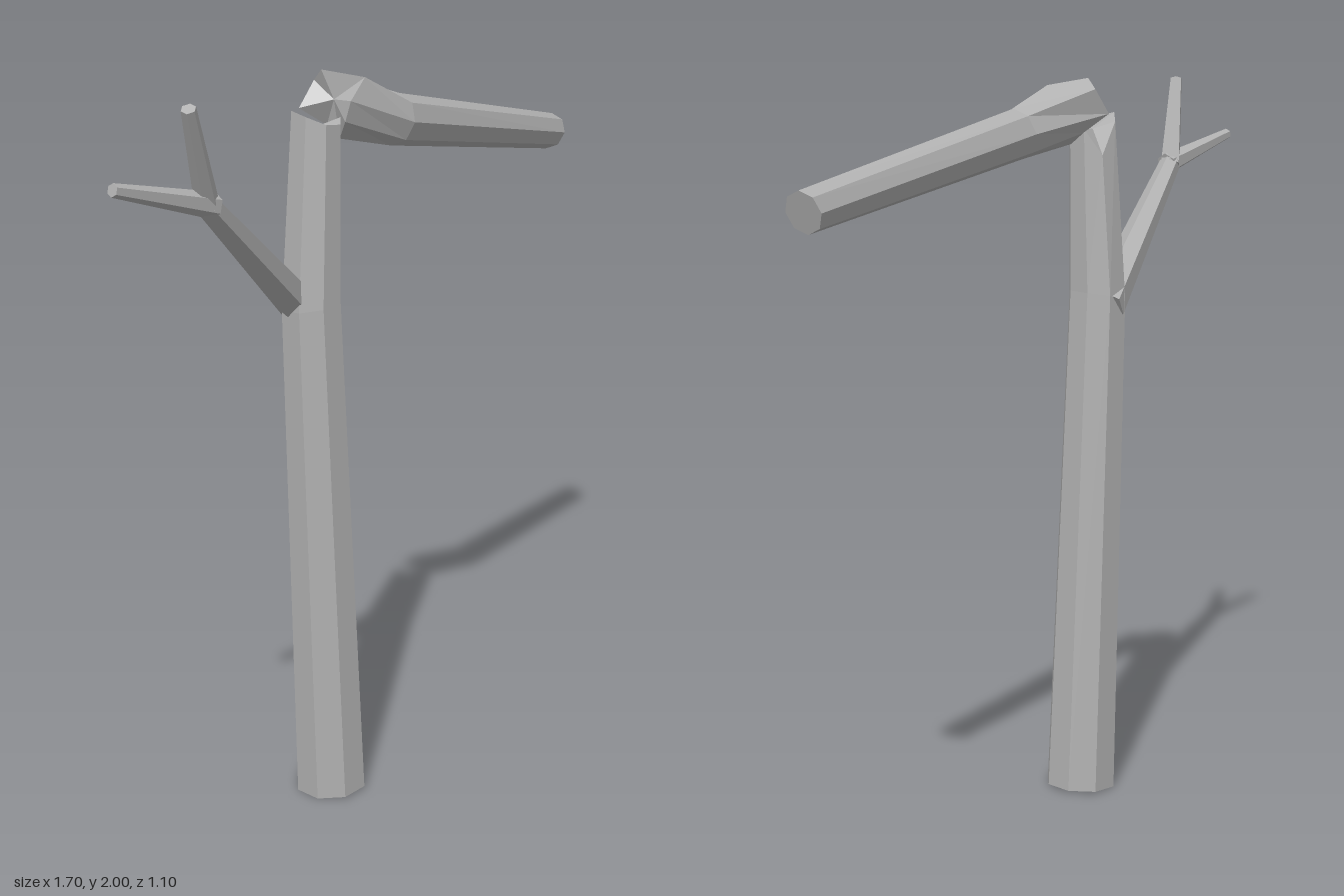
import * as THREE from 'three';

const V = (x, y, z) => new THREE.Vector3(x, y, z);

// Ring of n points round a centre, facing along dir; the first point lies towards ref
function ring(c, r, n, dir, ref) {
  const d = dir.clone().normalize();
  const u = ref.clone().addScaledVector(d, -ref.dot(d)).normalize();
  const v = d.clone().cross(u);
  return Array.from({ length: n }, (_, i) => {
    const a = (i / n) * Math.PI * 2;
    return c.clone().addScaledVector(u, r * Math.cos(a)).addScaledVector(v, r * Math.sin(a));
  });
}

const middle = (points) =>
  points.reduce((s, p) => s.add(p), V(0, 0, 0)).divideScalar(points.length);

// Faceted skin through the rings, closed by a fan at each end
function loft(name, rings, material, startMid, endMid) {
  const first = rings[0], last = rings[rings.length - 1], n = first.length;
  const s = startMid || middle(first), e = endMid || middle(last);
  const tris = [];
  for (let i = 0; i < n; i++) {
    const j = (i + 1) % n;
    for (let k = 0; k < rings.length - 1; k++) {
      const a = rings[k], b = rings[k + 1];
      tris.push(a[i], a[j], b[j], a[i], b[j], b[i]);
    }
    tris.push(s, first[j], first[i], e, last[i], last[j]);
  }
  const geometry = new THREE.BufferGeometry().setFromPoints(tris);
  geometry.computeVertexNormals();
  const mesh = new THREE.Mesh(geometry, material);
  mesh.name = name;
  return mesh;
}

export function createModel() {
  const group = new THREE.Group();
  group.name = 'brokenDeadTree';
  const bark = new THREE.MeshStandardMaterial({ color: 0xb0b0b0 });
  bark.name = 'greyBark';
  const up = V(0, 1, 0), front = V(0, 0, 1);

  // Trunk: leaning eight-sided column with a jagged, notched top
  const base = ring(V(-0.143, 0.005, 0.09), 0.1, 8, V(-0.05, 1, 0), front);
  const waist = ring(V(-0.195, 1.4, 0.102), 0.082, 8, V(-0.15, 1, 0), front);
  const stump = ring(V(-0.178, 0, 0.103), 0.066, 8, up, front);
  [1.865, 1.86, 1.87, 1.85, 1.78, 1.87, 1.895, 1.885].forEach((y, i) => { stump[i].y = y; });
  group.add(loft('trunk', [base, waist, stump], bark, null, V(-0.178, 1.85, 0.1)));

  // Snapped top: hangs from the stump, with a torn start and a slight bend
  const torn = [
    V(-0.145, 1.985, 0.06), V(-0.045, 1.966, 0.105), V(-0.1, 1.915, 0.142), V(-0.11, 1.862, 0.13),
    V(-0.1, 1.81, 0.07), V(-0.12, 1.84, 0.035), V(-0.2, 1.89, 0.045), V(-0.15, 1.955, 0.025),
  ];
  const bend = ring(V(0.08, 1.838, 0.015), 0.068, 8, V(0.9, -0.25, -0.4), up);
  const end = ring(V(0.825, 1.673, -0.5), 0.053, 8, V(0.8, -0.3, -0.52), up);
  group.add(loft('snappedTop', [torn, bend, end], bark, V(-0.115, 1.91, 0.07)));

  // Side branch and its two twigs
  const limb = (name, from, to, r0, r1) => {
    const dir = to.clone().sub(from);
    group.add(loft(name, [ring(from, r0, 6, dir, up), ring(to, r1, 6, dir, up)], bark));
  };
  const fork = V(-0.58, 1.75, 0.41);
  limb('sideBranch', V(-0.2, 1.37, 0.06), fork, 0.054, 0.03);
  limb('outerTwig', V(-0.56, 1.743, 0.4), V(-0.84, 1.828, 0.542), 0.032, 0.016);
  limb('upperTwig', V(-0.573, 1.74, 0.4), V(-0.655, 1.99, 0.525), 0.03, 0.018);

  return group;
}
